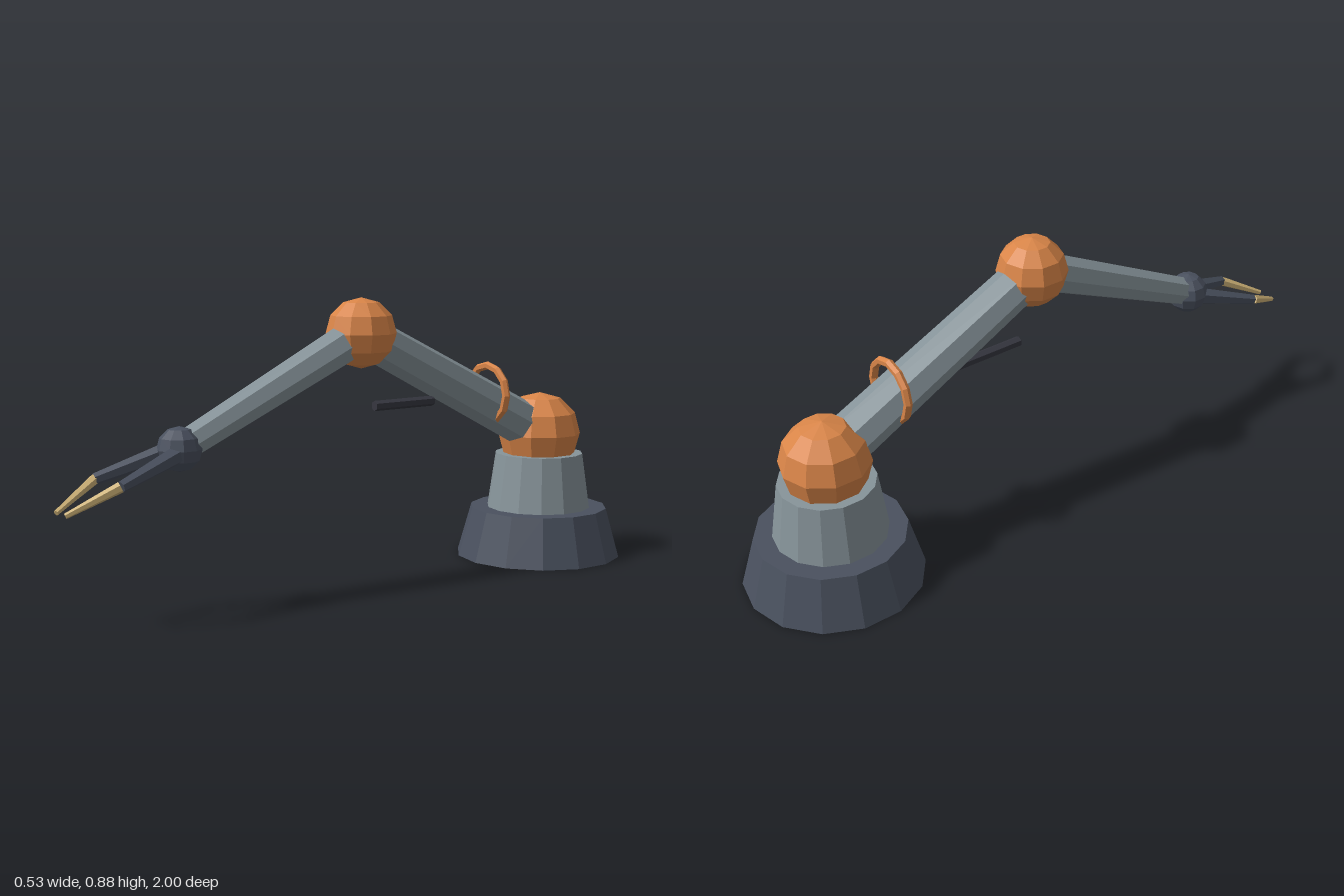
import * as THREE from 'three';

const mat = (name, color) => {
  const m = new THREE.MeshStandardMaterial({ color, flatShading: true });
  m.name = name;
  return m;
};

export function createModel() {
  const slate = mat('slate', 0x4a515f);
  const steel = mat('steel', 0x87949a);
  const orange = mat('orange', 0xd98548);
  const brass = mat('brass', 0xd0b478);
  const black = mat('black', 0x363740);

  const model = new THREE.Group();
  model.name = 'roboticArm';

  const add = (name, geometry, material, x, y, z) => {
    const mesh = new THREE.Mesh(geometry, material);
    mesh.name = name;
    mesh.position.set(x, y, z);
    model.add(mesh);
    return mesh;
  };

  // Faceted ball with a vertex row facing front
  const ball = (name, r, material, p) =>
    add(name, new THREE.SphereGeometry(r, 10, 6).rotateY(Math.PI / 2), material, p.x, p.y, p.z);

  // Tapered strut from point a (radius ra) to point b (radius rb)
  const strut = (name, a, b, ra, rb, sides, material) => {
    const g = new THREE.CylinderGeometry(rb, ra, a.distanceTo(b), sides).rotateX(Math.PI / 2);
    const mid = a.clone().lerp(b, 0.5);
    const mesh = add(name, g, material, mid.x, mid.y, mid.z);
    mesh.lookAt(b);
    return mesh;
  };

  const shoulder = new THREE.Vector3(0, 0.405, -0.73);
  const elbow = new THREE.Vector3(0, 0.77, 0);
  const wrist = new THREE.Vector3(0, 0.475, 0.63);

  // Stepped base
  add('base', new THREE.CylinderGeometry(0.225, 0.27, 0.16, 14), slate, 0, 0.08, -0.73);
  add('pedestal', new THREE.CylinderGeometry(0.144, 0.17, 0.18, 14), steel, 0, 0.25, -0.73);

  // Joints
  ball('shoulderJoint', 0.135, orange, shoulder);
  ball('elbowJoint', 0.107, orange, elbow);
  ball('wristJoint', 0.065, slate, wrist);

  // Arm segments
  strut('upperArm', shoulder, elbow, 0.075, 0.064, 8, steel);
  strut('forearm', elbow, wrist, 0.062, 0.045, 8, steel);

  // Ring around the upper arm and the rod below it
  add('armRing', new THREE.TorusGeometry(0.09, 0.013, 6, 12), orange, 0, 0.552, -0.503);
  strut('rod', new THREE.Vector3(0, 0.545, -0.275), new THREE.Vector3(0, 0.545, -0.05), 0.016, 0.016, 6, black);

  // Two-part gripper fingers, mirrored
  for (const [side, s] of [['left', 1], ['right', -1]]) {
    const root = new THREE.Vector3(s * 0.03, 0.465, 0.655);
    const knuckle = new THREE.Vector3(s * 0.077, 0.402, 0.855);
    const tip = new THREE.Vector3(s * 0.028, 0.331, 0.996);
    strut(side + 'Finger', root, knuckle, 0.028, 0.017, 6, slate);
    strut(side + 'FingerTip', knuckle, tip, 0.016, 0.008, 6, brass);
  }

  return model;
}
